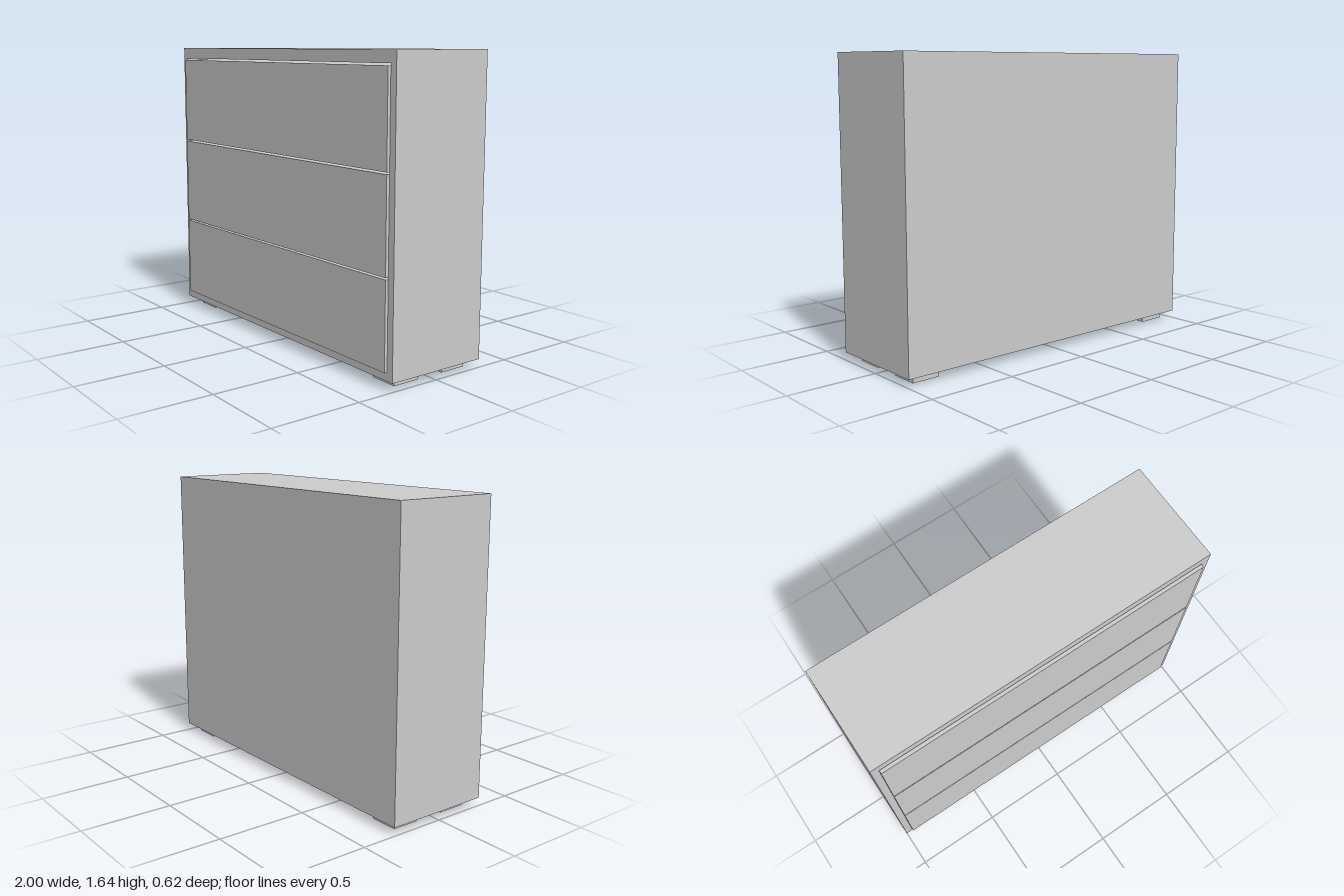
import * as THREE from 'three';

export function createModel() {
  const group = new THREE.Group();
  const material = new THREE.MeshStandardMaterial({ color: 0xcccccc });

  const add = (name, geometry, x, y, z) => {
    const mesh = new THREE.Mesh(geometry, material);
    mesh.name = name;
    mesh.position.set(x, y, z);
    group.add(mesh);
  };
  const rect = (Type, x, y0, y1) => new Type([
    new THREE.Vector2(-x, y0), new THREE.Vector2(x, y0),
    new THREE.Vector2(x, y1), new THREE.Vector2(-x, y1),
  ]);

  // Carcass: an open frame closed by a back panel
  const back = -0.306, front = 0.293, panel = 0.03;
  const bottom = 0.045, top = 1.643;
  const frame = rect(THREE.Shape, 1, bottom, top);
  frame.holes.push(rect(THREE.Path, 0.96, 0.09, 1.58));
  add('carcass', new THREE.ExtrudeGeometry(frame, {
    depth: front - back - panel, bevelEnabled: false,
  }), 0, 0, back + panel);
  add('backPanel', new THREE.BoxGeometry(2, top - bottom, panel),
    0, (top + bottom) / 2, back + panel / 2);

  // Three drawers, standing slightly proud of the carcass with narrow gaps
  const drawerBack = back + panel, drawerFront = 0.309;
  for (const [y0, y1] of [[0.09, 0.555], [0.564, 1.063], [1.073, 1.57]]) {
    add('drawer', new THREE.BoxGeometry(1.918, y1 - y0, drawerFront - drawerBack),
      0, (y0 + y1) / 2, (drawerFront + drawerBack) / 2);
  }

  // Four low square feet
  for (const x of [-0.86, 0.86]) {
    for (const z of [0.149, -0.174]) {
      add('foot', new THREE.BoxGeometry(0.16, bottom, 0.158), x, bottom / 2, z);
    }
  }
  return group;
}
